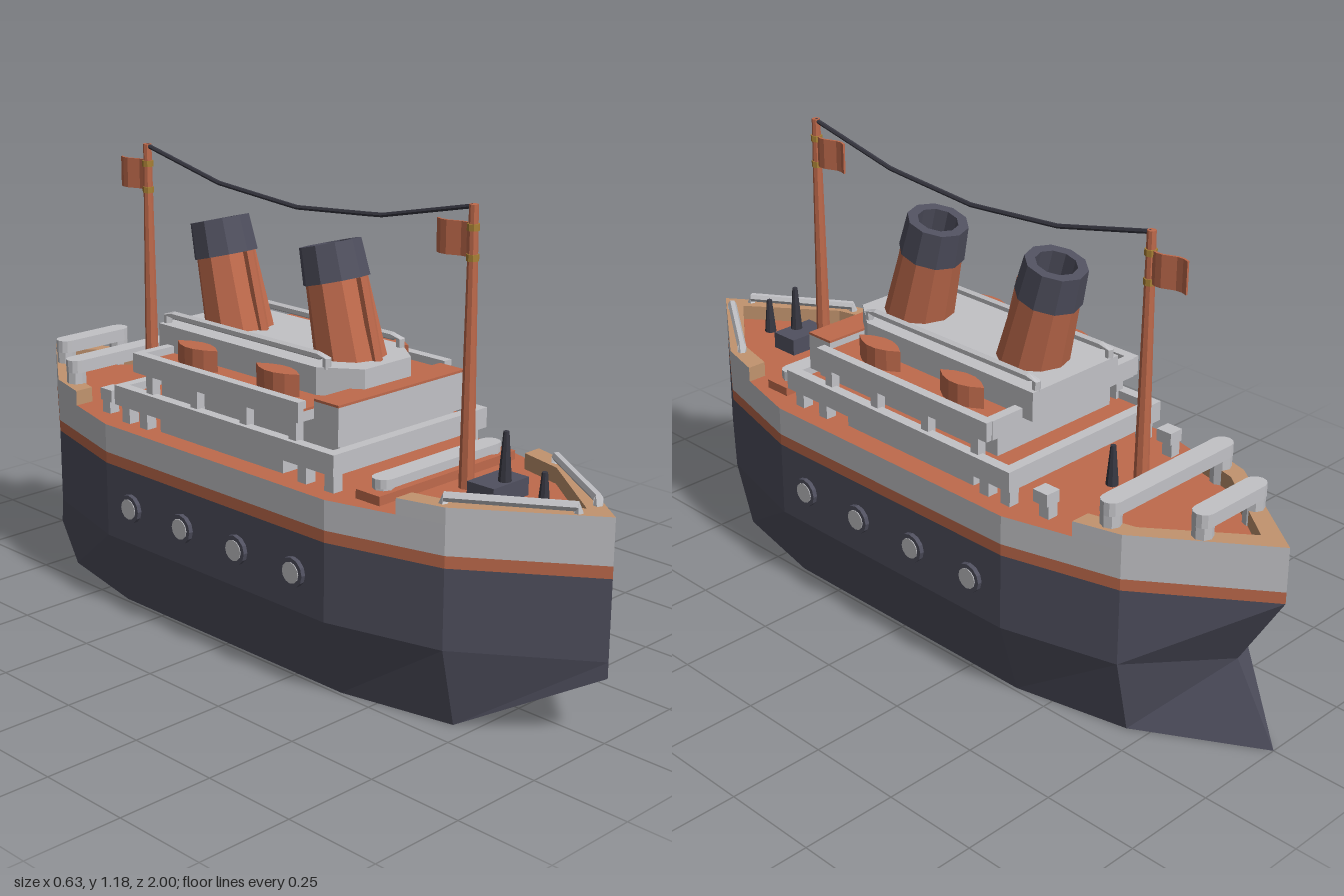
import * as THREE from 'three';

const paint = (name, color) => {
  const m = new THREE.MeshStandardMaterial({ color, flatShading: true, side: THREE.DoubleSide });
  m.name = name;
  return m;
};

export function createModel() {
  const navy = paint('navy', 0x50505f), rust = paint('rust', 0xbf6a4c), white = paint('offWhite', 0xc2c2c6);
  const tan = paint('tan', 0xc2946f), black = paint('charcoal', 0x383842), gold = paint('brass', 0xaa8236);
  const ship = new THREE.Group();
  ship.name = 'steamship';

  // helpers
  const add = (name, geo, mat, x = 0, y = 0, z = 0, parent = ship) => {
    const m = new THREE.Mesh(geo, mat);
    m.name = name;
    m.position.set(x, y, z);
    parent.add(m);
    return m;
  };
  // box given by centre x, bottom and top y, centre z
  const box = (name, mat, w, y0, y1, d, x, z) =>
    add(name, new THREE.BoxGeometry(w, y1 - y0, d), mat, x, (y0 + y1) / 2, z);
  const post = (name, mat, r0, r1, y0, y1, x, z, sides = 8) =>
    add(name, new THREE.CylinderGeometry(r1, r0, y1 - y0, sides), mat, x, (y0 + y1) / 2, z);
  const tube = (name, mat, pts, r) => {
    const path = new THREE.CurvePath();
    const v = pts.map(p => new THREE.Vector3(...p));
    for (let i = 1; i < v.length; i++) path.add(new THREE.LineCurve3(v[i - 1], v[i]));
    return add(name, new THREE.TubeGeometry(path, 24, r, 6), mat);
  };
  const geometry = tris => {
    const g = new THREE.BufferGeometry();
    g.setAttribute('position', new THREE.Float32BufferAttribute(tris.flat(), 3));
    g.computeVertexNormals();
    return g;
  };
  // wall between two matching rows of points
  const strip = (a, b) => {
    const t = [];
    for (let i = 0; i + 1 < a.length; i++) t.push(a[i], a[i + 1], b[i + 1], a[i], b[i + 1], b[i]);
    return t;
  };
  const flat = (pts, y) => pts.map(([x, z]) => [x, y, z]);
  // horizontal plate from a plan outline
  const plate = (pts, y0, y1) => {
    const s = new THREE.Shape(pts.map(([x, z]) => new THREE.Vector2(x, -z)));
    const g = new THREE.ExtrudeGeometry(s, { depth: y1 - y0, bevelEnabled: false });
    return g.rotateX(-Math.PI / 2).translate(0, y0, 0);
  };

  // hull: closed rings from keel to deck
  const ring = (y, k = 1, stern = -1, bowY = y) => {
    const side = [[0.22, 0.7], [0.3, 0.4], [0.3, -0.4], [0.22, -0.7]];
    return [[0, bowY, 1], ...side.map(([x, z]) => [x * k, y, z]), [0, y, stern],
      ...side.reverse().map(([x, z]) => [-x * k, y, z]), [0, bowY, 1]];
  };
  const keel = ring(0, 0.8, -1, 0.16), bilge = ring(0.2, 1, -0.88), water = ring(0.4);
  const bottom = [keel[0], keel[9], keel[1]];
  for (let i = 2; i < 9; i++) bottom.push(keel[1], keel[i + 1], keel[i]);
  add('hull', geometry([...strip(keel, bilge), ...strip(bilge, water), ...bottom]), navy);
  add('hullStripe', geometry(strip(water, ring(0.43))), rust);
  add('upperHull', geometry(strip(ring(0.43), ring(0.505))), white);
  const deck = ring(0.505), deckTris = [];
  for (let i = 1; i < 9; i++) deckTris.push(deck[0], deck[i], deck[i + 1]);
  add('mainDeck', geometry(deckTris), rust);

  // raised bulwarks at bow and stern
  const outer = [[-0.253, 0.58], [-0.22, 0.7], [0, 1], [0.22, 0.7], [0.253, 0.58]];
  const inner = [[-0.2, 0.58], [-0.17, 0.7], [0, 0.92], [0.17, 0.7], [0.2, 0.58]];
  for (const [name, turn] of [['bowBulwark', 0], ['sternBulwark', Math.PI]]) {
    const g = new THREE.Group();
    g.name = name;
    g.rotation.y = turn;
    ship.add(g);
    add('outerWall', geometry(strip(flat(outer, 0.505), flat(outer, 0.545))), white, 0, 0, 0, g);
    const ends = [0, 4].flatMap(i => strip(flat([outer[i], inner[i]], 0.505), flat([outer[i], inner[i]], 0.545)));
    add('rim', geometry([...strip(flat(outer, 0.545), flat(inner, 0.545)),
      ...strip(flat(inner, 0.545), flat(inner, 0.505)), ...ends]), tan, 0, 0, 0, g);
  }

  // portholes
  for (const s of [-1, 1]) for (const z of [-0.3, -0.1, 0.1, 0.3]) {
    add('portholeFrame', new THREE.CylinderGeometry(0.038, 0.038, 0.024, 12).rotateZ(Math.PI / 2), navy, s * 0.3, 0.3, z);
    add('portholeGlass', new THREE.CylinderGeometry(0.027, 0.027, 0.004, 12).rotateZ(Math.PI / 2), white, s * 0.312, 0.3, z);
  }

  // lower deckhouse, with a gallery deck on posts
  box('lowerHouse', white, 0.48, 0.505, 0.56, 0.45, 0, -0.025);
  box('galleryDeck', white, 0.5, 0.555, 0.58, 0.74, 0, 0);
  box('galleryFloor', rust, 0.5, 0.58, 0.584, 0.74, 0, 0);
  for (const z of [0.385, -0.382]) box('galleryEndWall', white, 0.54, 0.553, 0.605, 0.028, 0, z);
  for (const s of [-1, 1]) {
    box('gallerySideWall', white, 0.028, 0.553, 0.605, 0.78, s * 0.256, 0);
    for (const z of [0.37, 0.28, -0.3, -0.37]) box('galleryPost', white, 0.03, 0.505, 0.555, 0.03, s * 0.24, z);
    for (const z of [0.25, 0.08, -0.1, -0.27]) box('boatDeckPost', white, 0.025, 0.58, 0.66, 0.025, s * 0.245, z);
  }

  // upper deckhouse and boat deck
  box('upperHouse', white, 0.4, 0.58, 0.68, 0.64, 0, 0.03);
  box('boatDeck', white, 0.52, 0.655, 0.68, 0.6, 0, -0.02);
  box('boatDeckFloor', rust, 0.5, 0.68, 0.686, 0.6, 0, -0.02);
  box('bridgeFront', white, 0.44, 0.605, 0.7, 0.08, 0, 0.325);
  box('bridgeRoof', rust, 0.44, 0.7, 0.706, 0.08, 0, 0.325);
  box('boatDeckRearWall', white, 0.5, 0.655, 0.705, 0.025, 0, -0.31);
  for (const s of [-1, 1]) box('boatDeckSideWall', white, 0.026, 0.655, 0.705, 0.6, s * 0.255, -0.02);

  // top house with clipped front corners, and its handrails
  const plan = [[-0.15, -0.355], [-0.15, 0.22], [-0.08, 0.315], [0.08, 0.315], [0.15, 0.22], [0.15, -0.355]];
  add('topHouse', plate(plan, 0.68, 0.755), white);
  for (const s of [-1, 1]) {
    const x = s * 0.128;
    tube('topHandrail', white, [[x, 0.75, 0.235], [x, 0.778, 0.235], [x, 0.778, -0.345], [x, 0.75, -0.345]], 0.011);
  }

  // lifeboats
  const lens = new THREE.Shape();
  lens.moveTo(0, -0.075);
  lens.quadraticCurveTo(0.062, 0, 0, 0.075);
  lens.quadraticCurveTo(-0.062, 0, 0, -0.075);
  const boat = new THREE.ExtrudeGeometry(lens, { depth: 0.055, bevelEnabled: false, curveSegments: 5 }).rotateX(-Math.PI / 2);
  for (const s of [-1, 1]) for (const z of [-0.16, 0.13]) add('lifeboat', boat, rust, s * 0.19, 0.686, z);

  // raked funnels with open tops
  const cap = [[0.084, 0.195], [0.078, 0.288], [0.052, 0.288], [0.05, 0.2], [0, 0.2]].map(p => new THREE.Vector2(...p));
  for (const z of [0.19, -0.21]) {
    const f = new THREE.Group();
    f.name = 'funnel';
    f.position.set(0, 0.74, z);
    f.rotation.x = -0.26;
    ship.add(f);
    add('funnelBody', new THREE.CylinderGeometry(0.078, 0.092, 0.235, 10), rust, 0, 0.0775, 0, f);
    add('funnelCap', new THREE.LatheGeometry(cap, 10), navy, 0, 0, 0, f);
    add('funnelPipe', new THREE.CylinderGeometry(0.015, 0.015, 0.21, 6), rust, 0, 0.09, 0.088, f);
  }

  // masts with rings and flags
  for (const z of [0.57, -0.567]) {
    post('mast', rust, 0.019, 0.011, 0.505, 1.177, 0, z);
    for (const y of [1.055, 1.125]) post('mastRing', gold, 0.015, 0.015, y - 0.008, y + 0.008, 0, z);
    const flag = new THREE.BoxGeometry(0.006, 0.08, 0.1, 1, 1, 6);
    const p = flag.attributes.position;
    for (let i = 0; i < p.count; i++) p.setX(i, p.getX(i) + 0.008 * Math.sin(p.getZ(i) * 60));
    add('flag', flag, rust, 0, 1.092, z - 0.056);
  }
  tube('aerialWire', black, [[0, 1.173, 0.57], [0, 1.11, 0.285], [0, 1.088, 0], [0, 1.11, -0.285], [0, 1.173, -0.567]], 0.006);

  // rounded bench rails on legs
  const rail = (name, half, z, y0, y1, thick) => {
    const pts = [];
    for (let i = 0; i <= 12; i++) {
      const a = (i % 13) / 12 * Math.PI * 2, c = Math.cos(a);
      pts.push([Math.abs(c) < 0.01 ? 0 : Math.sign(c) * (half - 0.027) + 0.027 * c, z + 0.027 * Math.sin(a)]);
    }
    pts.pop();
    // straight sides between the rounded ends
    const round = pts.filter(q => q[0] !== 0);
    const end = half - 0.027;
    const all = [...round.filter(q => q[0] > 0), ...[[end, z + 0.027], [-end, z + 0.027], [-end, z - 0.027], [end, z - 0.027]], ...round.filter(q => q[0] < 0)];
    const ang = q => Math.atan2(q[1] - z, q[0] - Math.sign(q[0]) * end);
    all.sort((p, q) => ((ang(p) + 2 * Math.PI) % (2 * Math.PI)) - ((ang(q) + 2 * Math.PI) % (2 * Math.PI)) || (p[1] > z ? q[0] - p[0] : p[0] - q[0]));
    add(name, plate(all.reverse(), y1 - thick, y1), white);
    for (const s of [-1, 1]) post(name + 'Leg', white, 0.026, 0.026, y0, y1 - thick, s * end, z);
  };
  rail('sternRail', 0.12, -0.828, 0.505, 0.61, 0.034);
  rail('quarterRail', 0.225, -0.648, 0.505, 0.61, 0.034);
  rail('hatchRail', 0.215, 0.48, 0.51, 0.555, 0.022);
  box('foreHatch', rust, 0.48, 0.505, 0.528, 0.075, 0, 0.48);
  for (const s of [-1, 1]) {
    tube('bowRail', white, [[s * 0.2, 0.53, 0.675], [s * 0.2, 0.56, 0.675], [s * 0.035, 0.56, 0.925], [s * 0.035, 0.53, 0.925]], 0.012);
    // deck vents
    box('ventStem', white, 0.03, 0.505, 0.56, 0.03, s * 0.22, -0.475);
    box('ventHood', white, 0.042, 0.54, 0.572, 0.045, s * 0.22, -0.468);
  }

  // winch and bollards
  box('winch', navy, 0.125, 0.505, 0.55, 0.08, 0, 0.665);
  post('winchSpindle', black, 0.016, 0.007, 0.55, 0.67, 0, 0.685);
  post('bowBollard', black, 0.016, 0.007, 0.505, 0.6, 0, 0.8);
  post('sternBollard', black, 0.016, 0.007, 0.505, 0.61, 0, -0.478);

  return ship;
}
